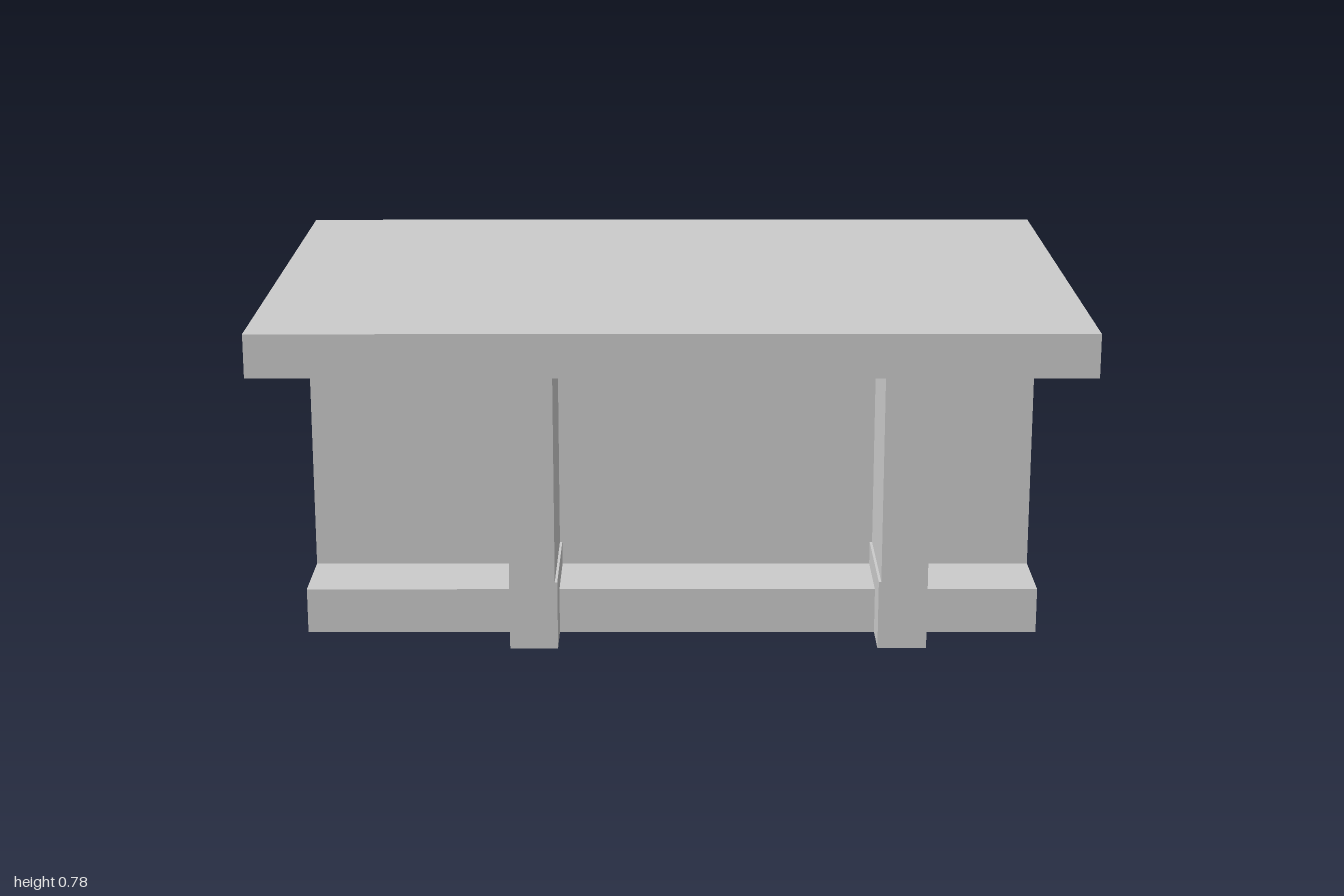
import * as THREE from 'three';

export function createModel() {
  const model = new THREE.Group();
  const material = new THREE.MeshStandardMaterial({ color: 0xcccccc, flatShading: true });

  // Box given by its minimum and maximum corners
  function box(name, [x0, y0, z0], [x1, y1, z1]) {
    const mesh = new THREE.Mesh(new THREE.BoxGeometry(x1 - x0, y1 - y0, z1 - z0), material);
    mesh.position.set((x0 + x1) / 2, (y0 + y1) / 2, (z0 + z1) / 2);
    mesh.name = name;
    model.add(mesh);
  }

  const floorTop = 0.111, roofBottom = 0.671, height = 0.778;
  const curbTop = 0.168, curb = 0.006;
  const halfDepth = 0.667, halfFloor = 0.889;

  // Horizontal slabs
  box('topSlab', [-1, roofBottom, -halfDepth], [1, height, halfDepth]);
  box('bottomSlab', [-halfFloor, 0, -0.556], [halfFloor, floorTop, 0.556]);

  // Long walls, each with a shallow curb on its inner face
  for (const s of [-1, 1]) {
    const side = (name, a, b, y1) => box(name,
      [-halfFloor, floorTop, Math.min(s * a, s * b)], [halfFloor, y1, Math.max(s * a, s * b)]);
    side('longWall', 0.252, 0.363, roofBottom);
    side('longWallCurb', 0.252 - curb, 0.252, curbTop);
  }

  // Cross walls reaching the full depth, with curbs facing each other
  for (const [x0, x1, c0, c1] of [
    [-0.389, -0.28, -0.28, -0.28 + curb],
    [0.5, 0.611, 0.5 - curb, 0.5],
  ]) {
    box('crossWall', [x0, 0, -halfDepth], [x1, roofBottom, halfDepth]);
    box('crossWallCurb', [c0, 0, -halfDepth], [c1, curbTop, halfDepth]);
  }

  return model;
}
